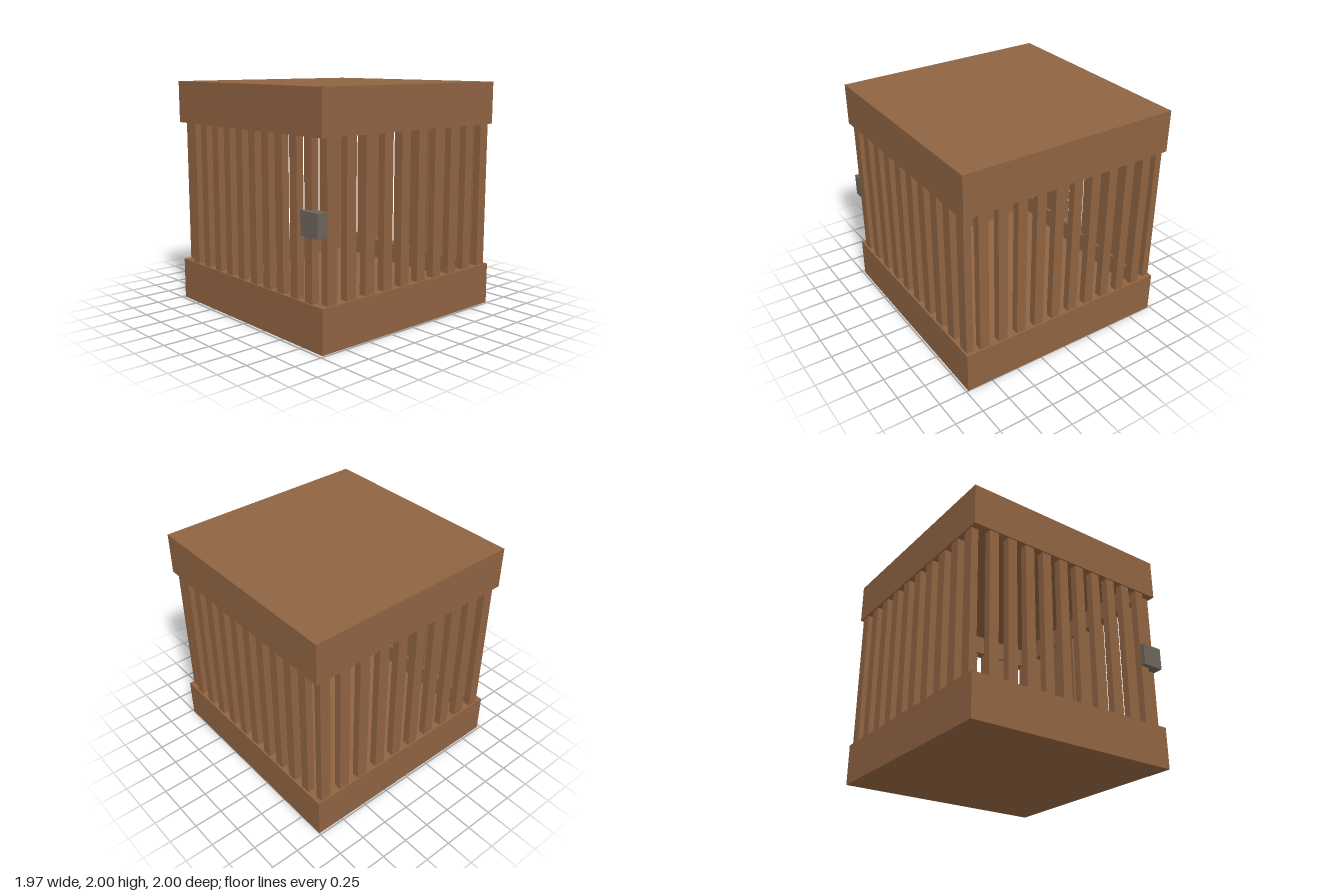
import * as THREE from 'three';

const W = 1.965, D = 1.97, CZ = -0.015;   // tray footprint and its centre in z
const H = 0.366, PLATE = 0.18, RIM = 0.1; // tray height, floor thickness, rim width

export function createModel() {
  const group = new THREE.Group();
  group.name = 'cage';
  const wood = new THREE.MeshStandardMaterial({ color: 0x8f6341 });
  wood.name = 'brown wood';
  const metal = new THREE.MeshStandardMaterial({ color: 0x6b645a });
  metal.name = 'grey metal';

  const box = (parent, name, mat, w, h, d, x, y, z) => {
    const m = new THREE.Mesh(new THREE.BoxGeometry(w, h, d), mat);
    m.name = name;
    m.position.set(x, y, z);
    parent.add(m);
    return m;
  };

  // Hollow tray: a plate with a raised rim, used for the base and, upside down, the lid
  const rect = (Type, w, d) => {
    const p = new Type();
    p.moveTo(-w / 2, -d / 2);
    p.lineTo(w / 2, -d / 2);
    p.lineTo(w / 2, d / 2);
    p.lineTo(-w / 2, d / 2);
    p.closePath();
    return p;
  };
  const rimShape = rect(THREE.Shape, W, D);
  rimShape.holes.push(rect(THREE.Path, W - 2 * RIM, D - 2 * RIM));
  const rimGeo = new THREE.ExtrudeGeometry(rimShape, { depth: H - PLATE, bevelEnabled: false });
  rimGeo.rotateX(-Math.PI / 2);

  for (const name of ['base', 'lid']) {
    const tray = new THREE.Group();
    tray.name = name;
    box(tray, name + 'Plate', wood, W, PLATE, D, 0, PLATE / 2, 0);
    const rim = new THREE.Mesh(rimGeo, wood);
    rim.name = name + 'Rim';
    rim.position.y = PLATE;
    tray.add(rim);
    tray.position.set(0, 0, CZ);
    if (name === 'lid') {
      tray.rotation.x = Math.PI;
      tray.position.y = 2;
    }
    group.add(tray);
  }

  // Ten upright bars on each side
  const barH = 2 - 2 * H + 0.02;
  for (let i = 0; i < 10; i++) {
    const x = -0.784 + i * 0.1768;
    box(group, 'frontBar', wood, 0.086, barH, 0.065, x, 1, 0.925);
    box(group, 'backBar', wood, 0.086, barH, 0.065, x, 1, -0.952);
    const z = 0.858 - i * 0.1968;
    box(group, 'leftBar', wood, 0.065, barH, 0.097, 0.933, 1, z);
    box(group, 'rightBar', wood, 0.065, barH, 0.097, -0.937, 1, z);
  }

  // Lock block at the front corner
  box(group, 'lock', metal, 0.2, 0.196, 0.095, 0.866, 0.99, 0.9525);
  return group;
}
